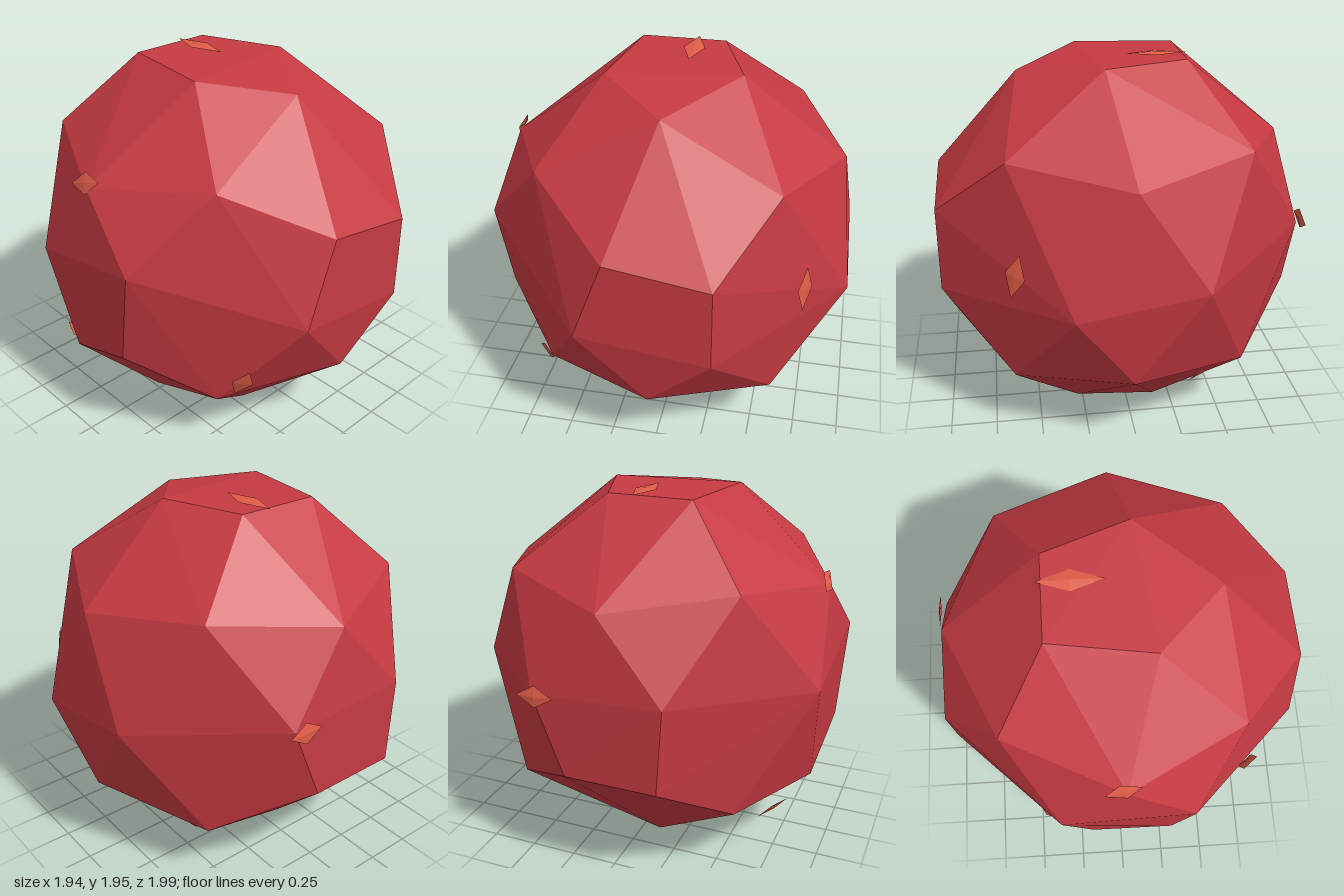
import * as THREE from 'three';
import { ConvexGeometry } from 'three/addons/geometries/ConvexGeometry.js';

const V = (p) => new THREE.Vector3(...p);

export function createModel() {
  const group = new THREE.Group();
  const rock = new THREE.MeshStandardMaterial({ color: 0xc63a42 });
  rock.name = 'rock red';
  const shard = new THREE.MeshStandardMaterial({ color: 0xe05c46 });
  shard.name = 'shard orange';

  // Flattened facets where the rock has been cut, one corner list per side
  const facets = {
    top: [[-0.28, 1.94, -0.34], [0.18, 1.94, -0.34], [0.34, 1.94, 0.11], [-0.36, 1.935, 0.2]],
    front: [[-0.19, 1.32, 1], [0.34, 1.235, 1], [0.34, 0.78, 1], [-0.36, 0.87, 1]],
    back: [[-0.36, 1.08, -0.945], [0.34, 1.05, -0.945], [-0.33, 0.62, -0.95], [0.17, 0.62, -0.95]],
    bottom: [[0.34, 0, -0.16], [-0.1, 0, -0.34], [0.34, 0.03, 0.28], [-0.19, 0, 0.39]],
    left: [[0.95, 0.97, -0.33], [0.968, 0.87, 0.335]],
    right: [[-0.97, 1.02, -0.33], [-0.975, 1.15, 0.38], [-0.95, 0.62, 0.28], [-0.92, 0.45, -0.17]],
  };
  // Raised tips between the facets
  const tips = [
    [0, 1.87, 0.545], [0, 1.49, -0.89], [0, 0.45, 0.94], [-0.53, 0.07, 0.02],
    [0.89, 1.49, 0.02], [0.89, 0.45, 0.03], [-0.915, 1.48, 0.02],
  ];
  // Eight cube-like corners
  const corners = [];
  for (const x of [-0.62, 0.61])
    for (const y of [0.375, 1.57])
      for (const z of [-0.6, 0.63]) corners.push([x, y, z]);

  const points = [...Object.values(facets).flat(), ...tips, ...corners].map(V);
  const body = new THREE.Mesh(new ConvexGeometry(points), rock);
  body.name = 'rockBody';
  group.add(body);

  // Small thin diamond shards hovering on the surface: centre, long axis, outward normal, half length
  const shards = [
    [[0.03, 1.945, -0.2], [0, 0, 1], [0, 1, 0], 0.17],
    [[-0.585, 0.55, 0.78], [0.1, 1, 0.45], [-0.6, -0.35, 0.75], 0.1],
    [[0.75, 1.035, 0.61], [0, 1, -0.25], [0.8, 0.1, 0.55], 0.12],
    [[-0.905, 1.5, 0], [0.15, 0.3, 1], [-0.9, 0.4, 0], 0.1],
    [[0.3, 1.055, -0.98], [1, 0, -0.1], [0, 0.1, -1], 0.1],
    [[-0.78, 0.35, -0.42], [-0.5, 0.3, 0.7], [-0.65, -0.6, -0.3], 0.1],
    [[0.53, 0.25, -0.41], [0.3, 0.55, -0.75], [0.6, -0.65, -0.4], 0.11],
  ];
  const diamond = new THREE.OctahedronGeometry(1, 0);
  shards.forEach(([at, along, out, half], i) => {
    const n = V(out).normalize();
    const side = V(along).normalize().cross(n).normalize();
    const axis = n.clone().cross(side);
    const mesh = new THREE.Mesh(diamond, shard);
    mesh.quaternion.setFromRotationMatrix(new THREE.Matrix4().makeBasis(side, axis, n));
    mesh.scale.set(0.058, half, 0.008);
    mesh.position.copy(V(at));
    mesh.name = `shard${i + 1}`;
    group.add(mesh);
  });

  return group;
}
